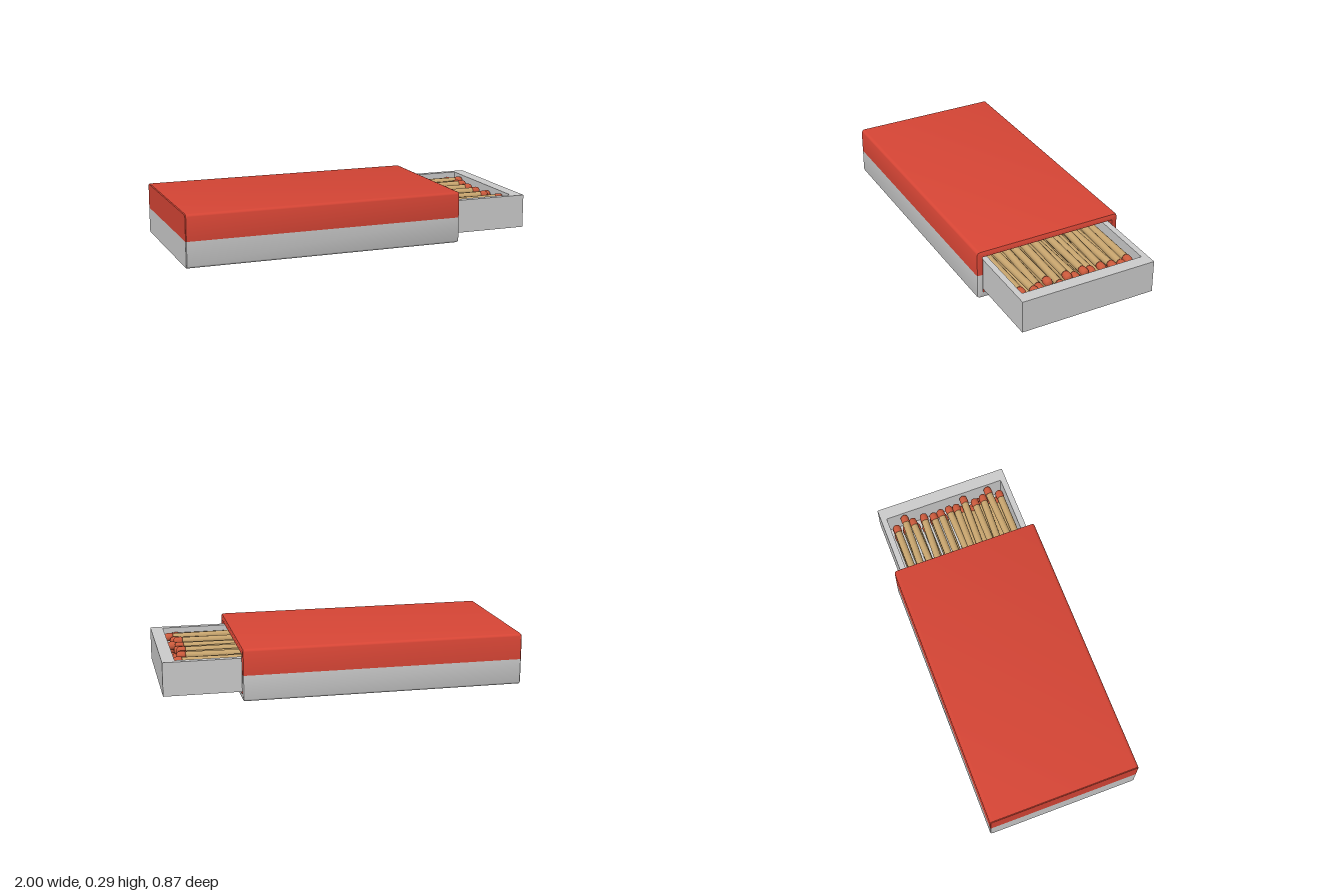
import * as THREE from 'three';
import { toCreasedNormals } from 'three/addons/utils/BufferGeometryUtils.js';

const grey = new THREE.MeshStandardMaterial({ color: 0xcccccc });
const red = new THREE.MeshStandardMaterial({ color: 0xd64535 });
const wood = new THREE.MeshStandardMaterial({ color: 0xc8a56e });
const tip = new THREE.MeshStandardMaterial({ color: 0xcc5a3c });

const SEAM = 0.147; // height where the red half meets the grey half

function addMesh(parent, name, geometry, material) {
  const mesh = new THREE.Mesh(geometry, material);
  mesh.name = name;
  parent.add(mesh);
  return mesh;
}

// Half of a rounded rectangle in (z, y), from one seam edge to the other.
// side = 1 is the upper half, side = -1 the lower half.
function halfProfile(side, w, h, r) {
  const points = [[w, 0]];
  for (const [cz, start] of [[w - r, 0], [r - w, Math.PI / 2]]) {
    for (let i = 0; i <= 5; i++) {
      const a = start + (i / 5) * Math.PI / 2;
      points.push([cz + r * Math.cos(a), h - r + r * Math.sin(a)]);
    }
  }
  points.push([-w, 0]);
  return points.map(([z, y]) => [z * side, SEAM + y * side]);
}

// Skins a list of half sections, each [x, halfWidth, height, cornerRadius]
function loftHalf(side, sections) {
  const rings = sections.map(([x, w, h, r]) =>
    halfProfile(side, w, h, r).map(([z, y]) => new THREE.Vector3(x, y, z)));
  const positions = [];
  const triangle = (a, b, c) => {
    const area = b.clone().sub(a).cross(c.clone().sub(a)).length();
    if (area > 1e-9) for (const p of [a, b, c]) positions.push(p.x, p.y, p.z);
  };
  for (let i = 0; i < rings.length - 1; i++) {
    for (let j = 0; j < rings[i].length - 1; j++) {
      const a = rings[i][j], b = rings[i + 1][j];
      const c = rings[i + 1][j + 1], d = rings[i][j + 1];
      triangle(a, b, c);
      triangle(a, c, d);
    }
  }
  const geometry = new THREE.BufferGeometry();
  geometry.setAttribute('position', new THREE.Float32BufferAttribute(positions, 3));
  return toCreasedNormals(geometry, 0.7);
}

function createSleeve() {
  const sleeve = new THREE.Group();
  sleeve.name = 'sleeve';
  for (const side of [1, -1]) {
    const half = side > 0 ? 'Upper' : 'Lower';
    const h = side > 0 ? 0.145 : 0.147;
    const inner = 0.111;
    // closed end, outer wall, softened lip and flat rim
    addMesh(sleeve, `sleeve${half}Half`, loftHalf(side, [
      [-1, 0, 0, 0],
      [-1, 0.43, h - 0.004, 0.016],
      [-0.996, 0.434, h, 0.02],
      [0.562, 0.434, h, 0.02],
      [0.571, 0.431, h - 0.003, 0.017],
      [0.575, 0.422, h - 0.012, 0.008],
      [0.575, 0.4, inner, 0],
    ]), side > 0 ? red : grey);
    // inner walls and back
    addMesh(sleeve, `sleeve${half}Lining`, loftHalf(side, [
      [0.575, 0.4, inner, 0],
      [-0.965, 0.4, inner, 0],
      [-0.965, 0, 0, 0],
    ]), red);
  }
  return sleeve;
}

function createTray() {
  const tray = new THREE.Group();
  tray.name = 'tray';
  const x0 = -0.57, x1 = 1, w = 0.394, y0 = 0.047, y1 = 0.235;
  const rectangle = (target, a, b, z) => {
    target.moveTo(a, -z);
    target.lineTo(b, -z);
    target.lineTo(b, z);
    target.lineTo(a, z);
    target.closePath();
    return target;
  };
  // four walls around a rectangular well
  const frame = rectangle(new THREE.Shape(), x0, x1, w);
  frame.holes.push(rectangle(new THREE.Path(), x0 + 0.07, x1 - 0.07, 0.36));
  const walls = new THREE.ExtrudeGeometry(frame, { depth: y1 - y0, bevelEnabled: false });
  walls.rotateX(-Math.PI / 2);
  walls.translate(0, y0, 0);
  addMesh(tray, 'trayWalls', walls, grey);
  const floor = new THREE.BoxGeometry(x1 - x0 - 0.13, 0.03, 0.73);
  floor.translate((x0 + x1) / 2, y0 + 0.0152, 0);
  addMesh(tray, 'trayFloor', floor, grey);
  return tray;
}

// Match lying along x with its rounded head ending at x = 0
function createMatch() {
  const match = new THREE.Group();
  match.name = 'match';
  const stick = new THREE.CylinderGeometry(0.021, 0.021, 1.27, 12);
  stick.rotateZ(-Math.PI / 2);
  stick.translate(-0.675, 0, 0);
  addMesh(match, 'matchStick', stick, wood);
  const outline = [[0, -0.05], [0.021, -0.05], [0.0235, -0.042], [0.0235, -0.018],
    [0.02, -0.007], [0.012, -0.001], [0, 0]].map(([r, y]) => new THREE.Vector2(r, y));
  const head = new THREE.LatheGeometry(outline, 14);
  head.rotateZ(-Math.PI / 2);
  addMesh(match, 'matchHead', head, tip);
  return match;
}

function createMatches() {
  const matches = new THREE.Group();
  matches.name = 'matches';
  // top layer: [tip x, tip z, yaw]
  const top = [
    [0.89, -0.32, 0], [0.93, -0.257, 0.03], [0.9, -0.218, -0.03], [0.9, -0.147, 0.04],
    [0.89, -0.09, 0], [0.89, -0.045, 0], [0.9, 0.01, -0.03], [0.89, 0.055, 0.02],
    [0.93, 0.115, 0.03], [0.885, 0.17, 0], [0.9, 0.227, 0.04], [0.93, 0.268, -0.03],
    [0.89, 0.328, 0],
  ];
  const prototype = createMatch();
  const place = (x, y, z, yaw) => {
    const match = prototype.clone();
    match.position.set(x, y, z);
    match.rotation.y = -yaw;
    matches.add(match);
  };
  top.forEach(([x, z, yaw], i) => place(x, 0.19 + 0.012 * (i % 2), z, yaw));
  // straight layers beneath
  for (let layer = 0; layer < 2; layer++) {
    for (let i = 0; i < 12; i++) {
      place(0.88 + 0.025 * ((i * 5 + layer * 2) % 3) / 2, 0.102 + 0.045 * layer,
        -0.319 + i * 0.058, 0);
    }
  }
  return matches;
}

export function createModel() {
  const model = new THREE.Group();
  model.name = 'matchbox';
  model.add(createSleeve(), createTray(), createMatches());
  return model;
}
